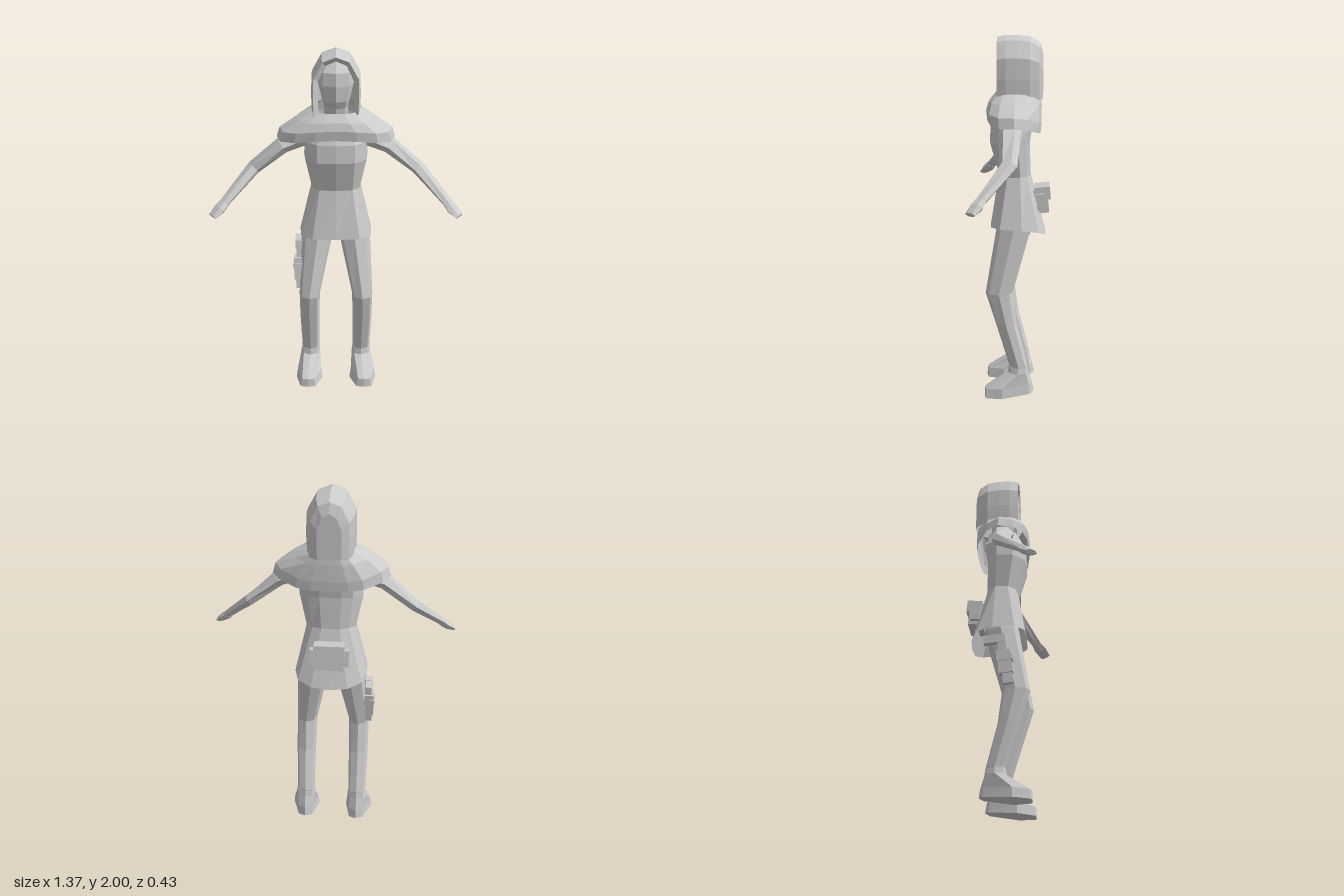
import * as THREE from 'three';

const material = new THREE.MeshStandardMaterial({ color: 0xcccccc, flatShading: true });
const clothMaterial = material.clone();
clothMaterial.side = THREE.DoubleSide;

// Unit outline of a limb, starting at the front (+z) and turning towards +x
const OCTAGON = [[0, 1], [0.74, 0.74], [1, 0], [0.74, -0.74], [0, -1], [-0.74, -0.74], [-1, 0], [-0.74, 0.74]];

// Skin a stack of cross-sections; each runs anticlockwise about the stacking direction
function loft(rings, { closed = true, capStart = false, capEnd = false } = {}) {
  const pos = [];
  const n = rings[0].length;
  for (let r = 0; r < rings.length - 1; r++) {
    for (let i = 0; i < (closed ? n : n - 1); i++) {
      const j = (i + 1) % n;
      const a = rings[r][i], b = rings[r][j], c = rings[r + 1][j], d = rings[r + 1][i];
      pos.push(...a, ...b, ...c, ...a, ...c, ...d);
    }
  }
  const cap = (ring, flip) => {
    const mid = [0, 1, 2].map(k => ring.reduce((s, p) => s + p[k], 0) / n);
    ring.forEach((p, i) => {
      const q = ring[(i + 1) % n];
      pos.push(...mid, ...(flip ? q : p), ...(flip ? p : q));
    });
  };
  if (capStart) cap(rings[0], true);
  if (capEnd) cap(rings[rings.length - 1], false);
  const g = new THREE.BufferGeometry();
  g.setAttribute('position', new THREE.Float32BufferAttribute(pos, 3));
  g.computeVertexNormals();
  return g;
}

// Complete a half outline (centre, +x side, centre) with its mirror image
const symmetric = half => [...half, ...half.slice(1, -1).reverse().map(([x, y, z]) => [-x, y, z])];
const mirrorRings = rings => rings.map(r => r.map(([x, y, z]) => [-x, y, z]).reverse());
const oval = ([cx, y, cz, hx, hz]) => OCTAGON.map(([u, v]) => [cx + u * hx, y, cz + v * hz]);

// Cross-sections across a path; each stop is [x, y, z, half width, half thickness]
function pathRings(stops) {
  const points = stops.map(s => new THREE.Vector3(s[0], s[1], s[2]));
  return stops.map((s, k) => {
    const d = points[Math.min(k + 1, stops.length - 1)].clone().sub(points[Math.max(k - 1, 0)]).normalize();
    const u = new THREE.Vector3(-d.z, 0, d.x).normalize();
    const v = d.clone().cross(u);
    return Array.from({ length: 6 }, (_, i) => {
      const t = i * Math.PI / 3;
      return points[k].clone().addScaledVector(u, s[3] * Math.cos(t))
        .addScaledVector(v, s[4] * Math.sin(t) * 1.15).toArray();
    });
  });
}

export function createModel() {
  const model = new THREE.Group();
  const add = (name, geometry, mat = material, parent = model) => {
    const mesh = new THREE.Mesh(geometry, mat);
    mesh.name = name;
    parent.add(mesh);
    return mesh;
  };
  const box = (name, parent, [w, h, d], [x, y, z], tilt = 0) => {
    const mesh = add(name, new THREE.BoxGeometry(w, h, d), material, parent);
    mesh.position.set(x, y, z);
    mesh.rotation.x = tilt;
  };
  const pair = (name, rings, options) => {
    add('left' + name, loft(rings, options));
    add('right' + name, loft(mirrorRings(rings), options));
  };

  // Tunic: flared skirt with a dipped back hem, waist, chest and shoulders
  const level = (y, half) => symmetric(half.map(([x, z]) => [x, y, z]));
  add('tunic', loft([
    symmetric([[0, 0.965, 0.115], [0.13, 0.965, 0.11], [0.195, 0.965, 0.06], [0.2, 0.96, -0.06],
      [0.175, 0.945, -0.15], [0.1, 0.92, -0.185], [0, 0.91, -0.19]]),
    level(1.24, [[0, 0.07], [0.09, 0.06], [0.13, 0.02], [0.135, -0.05], [0.1, -0.085], [0.05, -0.105], [0, -0.105]]),
    level(1.42, [[0, 0.12], [0.1, 0.112], [0.165, 0.05], [0.173, -0.04], [0.12, -0.085], [0.06, -0.1], [0, -0.1]]),
    level(1.52, [[0, 0.115], [0.1, 0.105], [0.16, 0.05], [0.168, -0.04], [0.12, -0.1], [0.06, -0.115], [0, -0.115]]),
    level(1.62, [[0, 0.07], [0.06, 0.06], [0.1, 0.03], [0.1, -0.04], [0.08, -0.08], [0.04, -0.1], [0, -0.1]]),
  ], { capEnd: true }), clothMaterial);

  // Legs, bent at the knee
  pair('Leg', [
    [0.15, 0.13, -0.042, 0.05, 0.052],
    [0.15, 0.18, -0.042, 0.05, 0.052],
    [0.152, 0.42, 0.025, 0.055, 0.058],
    [0.15, 0.6, 0.065, 0.058, 0.075],
    [0.103, 0.96, -0.015, 0.088, 0.095],
    [0.095, 1.06, -0.02, 0.075, 0.085],
  ].map(oval), { capEnd: true });

  // Shoes: sole, upper and ankle sections
  pair('Shoe', [
    [[0.165, 0, 0.148], [0.21, 0, 0.14], [0.235, 0.005, 0.05], [0.19, 0.02, -0.105],
      [0.15, 0.025, -0.128], [0.11, 0.02, -0.105], [0.08, 0.005, 0.05], [0.12, 0, 0.14]],
    [[0.165, 0.052, 0.145], [0.2, 0.052, 0.138], [0.228, 0.06, 0.045], [0.188, 0.075, -0.1],
      [0.15, 0.075, -0.12], [0.112, 0.075, -0.1], [0.088, 0.06, 0.045], [0.13, 0.052, 0.138]],
    oval([0.151, 0.14, -0.042, 0.056, 0.058]),
    oval([0.15, 0.17, -0.042, 0.052, 0.054]),
  ], { capStart: true, capEnd: true });

  // Arms reaching down and forward, ending in flat mitten hands
  pair('Arm', pathRings([
    [0.14, 1.545, -0.01, 0.06, 0.045],
    [0.285, 1.487, 0.005, 0.06, 0.038],
    [0.445, 1.355, 0.005, 0.05, 0.03],
    [0.605, 1.2, 0.14, 0.033, 0.019],
  ]), { capStart: true, capEnd: true });
  pair('Hand', pathRings([
    [0.6, 1.203, 0.137, 0.034, 0.02],
    [0.625, 1.178, 0.157, 0.043, 0.022],
    [0.662, 1.146, 0.187, 0.034, 0.012],
  ]), { capStart: true, capEnd: true });

  // Shoulder cape, from the hem up to the neck
  const hem = [[0, 1.555, 0.128], [0.11, 1.55, 0.128], [0.22, 1.535, 0.108], [0.295, 1.525, 0.06],
    [0.318, 1.525, -0.02], [0.28, 1.515, -0.085], [0.18, 1.49, -0.145], [0.1, 1.48, -0.158], [0, 1.48, -0.16]];
  const capeRing = (sx, front, back, height) =>
    symmetric(hem.map(([x, y, z]) => [x * sx, height(y), z * (z > 0 ? front : back)]));
  add('shoulderCape', loft([
    symmetric(hem),
    capeRing(0.95, 1.05, 1.03, y => y + 0.055),
    capeRing(0.67, 0.95, 1.03, y => 1.64 + (y - 1.52) * 0.3),
    capeRing(0.41, 0.68, 1, () => 1.69),
  ]), clothMaterial);

  // Hood: arches from the back of the head to the folded front rim
  const archHalf = [[0.125, 1.66], [0.13, 1.77], [0.127, 1.88], [0.075, 1.973], [0, 2]];
  const arch = ([z, sx, sy]) => [...archHalf, ...archHalf.slice(0, -1).reverse().map(([x, y]) => [-x, y])]
    .map(([x, y]) => [x * sx, 1.66 + (y - 1.66) * sy, z]);
  add('hood', loft([
    [-0.172, 0.5, 0.72], [-0.152, 0.8, 0.89], [-0.1, 0.97, 0.975], [-0.03, 1, 1], [0.03, 1, 0.995],
    [0.078, 0.92, 0.97], [0.055, 0.73, 0.89],
  ].map(arch), { closed: false, capStart: true }), clothMaterial);

  // Head and neck inside the hood
  add('head', loft([
    [0, 1.62, -0.03, 0.06, 0.06],
    [0, 1.7, -0.02, 0.065, 0.065],
    [0, 1.745, -0.01, 0.075, 0.08],
    [0, 1.83, -0.01, 0.094, 0.088],
    [0, 1.9, -0.015, 0.09, 0.085],
    [0, 1.96, -0.03, 0.05, 0.05],
  ].map(oval), { capStart: true, capEnd: true }));

  // Belt pouch at the back with flap and side pockets
  const pouch = new THREE.Group();
  pouch.name = 'beltPouch';
  model.add(pouch);
  box('pouchBody', pouch, [0.16, 0.13, 0.085], [0, 1.1, -0.16], 0.1);
  box('pouchFlap', pouch, [0.168, 0.07, 0.085], [0, 1.145, -0.172], 0.1);
  for (const s of [-1, 1]) box('sidePocket', pouch, [0.028, 0.09, 0.05], [s * 0.093, 1.1, -0.165], 0.1);

  // Thigh holster on the right leg, with the grip pointing back
  const holster = new THREE.Group();
  holster.name = 'thighHolster';
  model.add(holster);
  box('grip', holster, [0.035, 0.045, 0.11], [-0.212, 0.875, -0.05], -0.1);
  box('frame', holster, [0.035, 0.13, 0.045], [-0.207, 0.84, -0.005], -0.12);
  box('holsterBody', holster, [0.05, 0.13, 0.075], [-0.212, 0.74, 0.01], -0.12);
  box('holsterStrap', holster, [0.06, 0.03, 0.085], [-0.212, 0.76, 0.01], -0.12);
  box('holsterTip', holster, [0.04, 0.07, 0.05], [-0.207, 0.655, 0.025], -0.12);

  return model;
}
